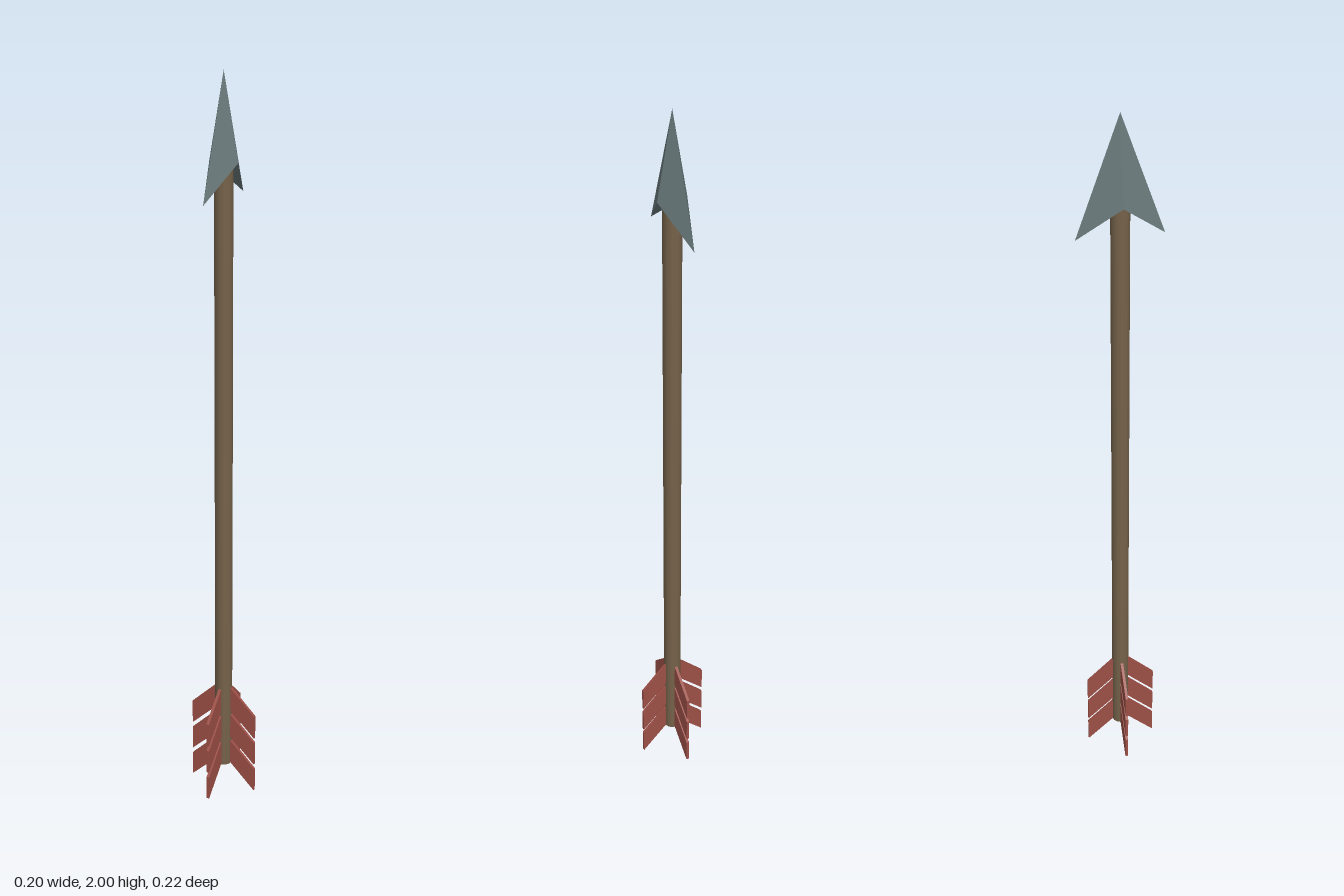
import * as THREE from 'three';

const material = (color, flatShading = false) =>
  new THREE.MeshStandardMaterial({ color, flatShading });

// Barbed head: a tall diamond pyramid with its front and back corners swept down
function headGeometry() {
  const tip = [0, 2, 0];
  const left = [0.04, 1.78, 0], right = [-0.04, 1.78, 0];
  const front = [0, 1.69, 0.109], back = [0, 1.69, -0.109];
  const faces = [
    [tip, front, left], [tip, left, back], [tip, back, right], [tip, right, front],
    [left, front, right], [right, back, left],
  ];
  const geometry = new THREE.BufferGeometry();
  geometry.setAttribute('position', new THREE.Float32BufferAttribute(faces.flat(2), 3));
  geometry.computeVertexNormals();
  return geometry;
}

// One slanted vane, pointing out along +x
function vaneGeometry() {
  const shape = new THREE.Shape([
    new THREE.Vector2(0.015, 0.08), new THREE.Vector2(0.098, 0),
    new THREE.Vector2(0.098, 0.07), new THREE.Vector2(0.015, 0.152),
  ]);
  const thickness = 0.008;
  return new THREE.ExtrudeGeometry(shape, { depth: thickness, bevelEnabled: false })
    .translate(0, 0, -thickness / 2);
}

export function createModel() {
  const model = new THREE.Group();
  model.name = 'arrow';

  // Shaft
  const bottom = 0.07, top = 1.785;
  const shaft = new THREE.Mesh(
    new THREE.CylinderGeometry(0.024, 0.024, top - bottom, 12), material(0x75624a));
  shaft.position.y = (top + bottom) / 2;
  shaft.name = 'shaft';
  model.add(shaft);

  // Head
  const head = new THREE.Mesh(headGeometry(), material(0x69797a, true));
  head.name = 'head';
  model.add(head);

  // Fletching: three vanes stacked on each of four sides
  const fletching = new THREE.Group();
  fletching.name = 'fletching';
  const vane = vaneGeometry();
  const red = material(0x9c4f46, true);
  for (let side = 0; side < 4; side++) {
    for (let row = 0; row < 3; row++) {
      const mesh = new THREE.Mesh(vane, red);
      mesh.name = 'vane';
      mesh.rotation.y = side * Math.PI / 2;
      mesh.position.y = row * 0.0855;
      fletching.add(mesh);
    }
  }
  model.add(fletching);
  return model;
}
